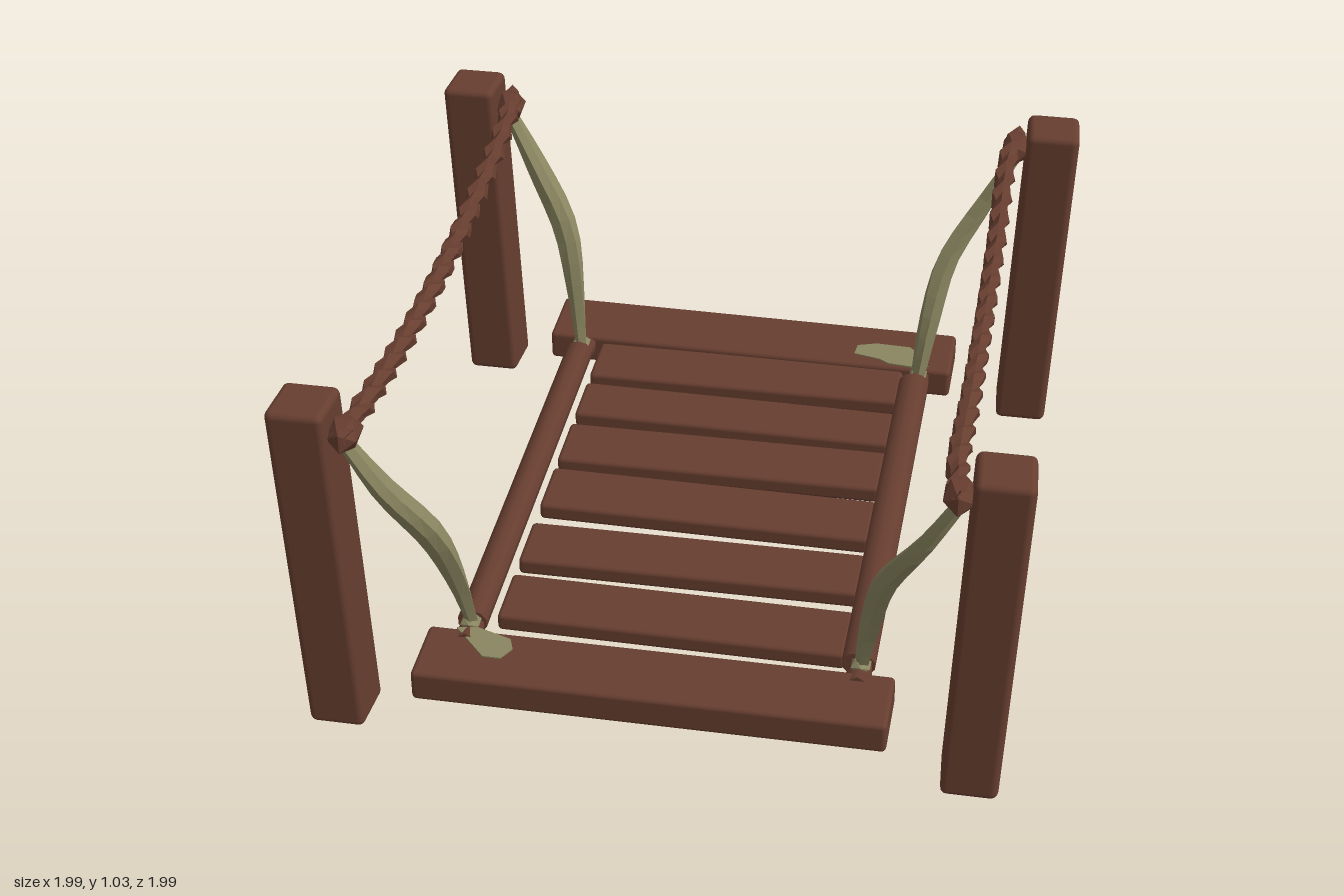
import * as THREE from 'three';
import { RoundedBoxGeometry } from 'three/addons/geometries/RoundedBoxGeometry.js';

export function createModel() {
  const bridge = new THREE.Group();
  bridge.name = 'ropeBridge';
  const wood = new THREE.MeshStandardMaterial({ color: 0x673e30 });
  wood.name = 'brown wood';
  const twine = new THREE.MeshStandardMaterial({ color: 0x8a8560 });
  twine.name = 'olive twine';

  const add = (name, geometry, material, x = 0, y = 0, z = 0) => {
    const mesh = new THREE.Mesh(geometry, material);
    mesh.name = name;
    mesh.position.set(x, y, z);
    bridge.add(mesh);
    return mesh;
  };

  // move every vertex of a geometry by a rule
  const warp = (geometry, rule) => {
    const p = geometry.attributes.position;
    const v = new THREE.Vector3();
    for (let i = 0; i < p.count; i++) {
      v.fromBufferAttribute(p, i);
      rule(v);
      p.setXYZ(i, v.x, v.y, v.z);
    }
    return geometry;
  };

  // box given by its limits, with softly worn edges
  const plank = (name, x0, x1, y0, y1, z0, z1, skew = 0) => {
    const geometry = new RoundedBoxGeometry(x1 - x0, y1 - y0, z1 - z0, 2, 0.014);
    warp(geometry, (v) => { v.z += skew * v.x; });
    return add(name, geometry, wood, (x0 + x1) / 2, (y0 + y1) / 2, (z0 + z1) / 2);
  };

  // faceted tube whose radius follows shape(t, angle)
  const cord = (name, points, steps, sides, material, shape) => {
    const curve = new THREE.CatmullRomCurve3(points.map((p) => new THREE.Vector3(...p)));
    const geometry = new THREE.TubeGeometry(curve, steps, 1, sides);
    const p = geometry.attributes.position;
    const v = new THREE.Vector3();
    for (let i = 0; i <= steps; i++) {
      const centre = curve.getPointAt(i / steps);
      for (let j = 0; j <= sides; j++) {
        const k = i * (sides + 1) + j;
        v.fromBufferAttribute(p, k).sub(centre);
        v.multiplyScalar(shape(i / steps, (j / sides) * Math.PI * 2)).add(centre);
        p.setXYZ(k, v.x, v.y, v.z);
      }
    }
    const faceted = geometry.toNonIndexed();
    faceted.computeVertexNormals();
    return add(name, faceted, material);
  };

  // deck: two wide end planks and six slats
  plank('frontEndPlank', -0.66, 0.65, 0.12, 0.215, 0.77, 0.985);
  plank('backEndPlank', -0.66, 0.65, 0.12, 0.215, -0.99, -0.76, 0.012);
  const slats = [[-0.77, -0.575], [-0.525, -0.345], [-0.3, -0.1], [-0.05, 0.15], [0.225, 0.415], [0.485, 0.685]];
  slats.forEach(([z0, z1], i) => {
    plank('slat' + (i + 1), -0.49, 0.5, 0.145, 0.2, z0, z1, i % 2 ? 0.008 : -0.008);
  });

  for (const sx of [-1, 1]) {
    const side = sx > 0 ? 'Left' : 'Right';

    // rounded rail along the edge of the deck
    const rail = new THREE.CylinderGeometry(0.044, 0.044, 1.42, 10).rotateX(Math.PI / 2);
    rail.scale(sx > 0 ? 1.1 : 0.98, 0.9, 1);
    add('deckRail' + side, rail, wood, sx > 0 ? 0.54 : -0.553, 0.19, 0);

    // sagging twisted hand rope
    const x = sx * 0.785;
    cord('handRope' + side,
      [[sx * 0.805, 0.965, -0.98], [x, 0.965, -0.83], [x, 0.915, -0.4], [x, 0.9, 0],
        [x, 0.915, 0.4], [x, 0.965, 0.83], [sx * 0.805, 0.965, 0.98]],
      56, 6, wood, (t, a) => 0.027 * (1 + 0.33 * Math.cos(2 * a + t * 19 * Math.PI * 2)));

    for (const sz of [-1, 1]) {
      const corner = (sz > 0 ? 'Front' : 'Back') + side;

      // post leaning outwards
      const post = new RoundedBoxGeometry(0.157, 1.035, 0.163, 2, 0.02);
      warp(post, (v) => { v.x += sx * (v.y * 0.037 + 0.004 * Math.sin(v.z * 30)); });
      add('post' + corner, post, wood, sx * 0.893, 0.5225, sz * 0.915);

      // lashing of the hand rope on the post
      const knot = new THREE.IcosahedronGeometry(0.05, 0).scale(0.95, 1.05, 1.4);
      add('ropeKnot' + corner, knot, wood, sx * 0.8, 0.955, sz * 0.925);

      // tapering twine from post to deck
      cord('hangerTwine' + corner,
        [[sx * 0.82, 0.96, sz * 0.93], [sx * 0.72, 0.77, sz * 0.9], [sx * 0.615, 0.58, sz * 0.835],
          [sx * 0.575, 0.4, sz * 0.775], [sx * 0.548, 0.2, sz * 0.725]],
        12, 6, twine, (t, a) => (0.02 + 0.014 * Math.sin(Math.PI * t)) * (1 + 0.2 * Math.cos(2 * a + t * 5)));

      // small wooden neck joining rail and end plank, with a twine lashing
      const neck = new THREE.CylinderGeometry(0.03, 0.05, 0.12, 6).rotateX(sz * -Math.PI / 2);
      add('railNeck' + corner, neck, wood, sx * 0.548, 0.178, sz * 0.75);
      const lashing = new THREE.IcosahedronGeometry(0.035, 0).scale(0.9, 0.55, 1);
      add('lashing' + corner, lashing, twine, sx * 0.55, 0.212, sz * 0.735);
    }
  }

  // flat twine patches on the end planks
  const patch = (name, outline) => {
    const shape = new THREE.Shape(outline.map(([x, z]) => new THREE.Vector2(x, -z)));
    const geometry = new THREE.ExtrudeGeometry(shape, { depth: 0.006, bevelEnabled: false });
    geometry.rotateX(-Math.PI / 2);
    add(name, geometry, twine, 0, 0.213, 0);
  };
  patch('twinePatchFront', [[-0.58, 0.775], [-0.52, 0.765], [-0.42, 0.8], [-0.405, 0.84], [-0.43, 0.885], [-0.48, 0.885], [-0.53, 0.83]]);
  patch('twinePatchBack', [[0.335, -0.81], [0.34, -0.86], [0.4, -0.88], [0.51, -0.875], [0.54, -0.84], [0.53, -0.8], [0.58, -0.775], [0.53, -0.762], [0.45, -0.77], [0.42, -0.79]]);

  return bridge;
}
